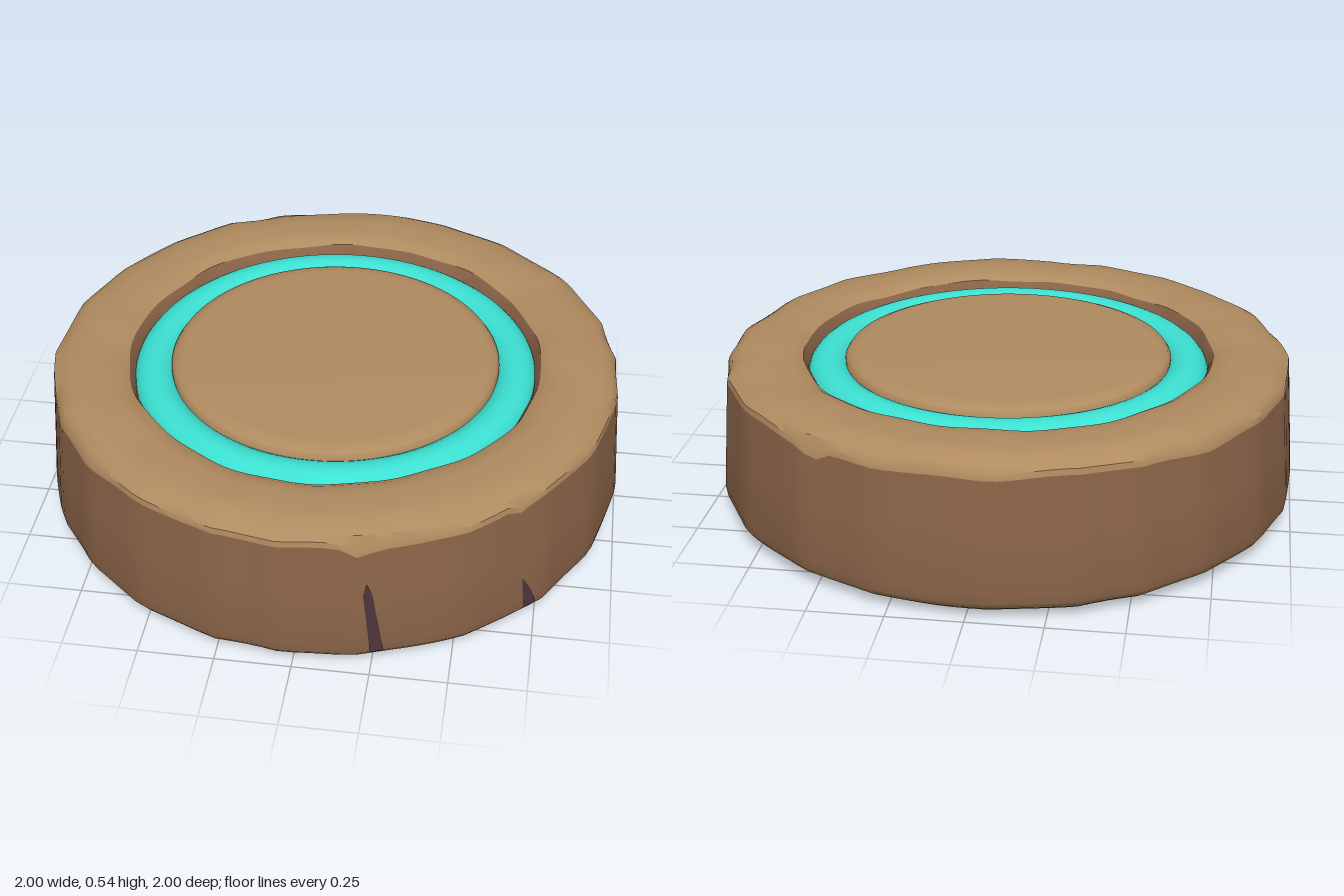
import * as THREE from 'three';
import { mergeVertices, toCreasedNormals } from 'three/addons/utils/BufferGeometryUtils.js';

const HEIGHT = 0.545;
const SEGMENTS = 120;

function material(name, color) {
  const m = new THREE.MeshStandardMaterial({ color });
  m.name = name;
  return m;
}

// Periodic hand-carved wobble, about -1..1
const wobble = (t, seed) =>
  0.45 * Math.sin(5 * t + seed) + 0.35 * Math.sin(9 * t + 2.3 * seed) + 0.3 * Math.sin(17 * t + 4.1 * seed);

// Irregular chopped outline: 22 uneven flats around the circle
function chopped(t) {
  const warped = t + 0.06 * Math.sin(3 * t + 1) + 0.03 * Math.sin(7 * t);
  const step = (Math.PI * 2) / 22;
  const local = ((warped % step) + step) % step - step / 2;
  return Math.cos(step / 2) / Math.cos(local);
}

// Moves a point of the turned body to its carved position
function carve(r, y, t) {
  const outer = THREE.MathUtils.smoothstep(r, 0.75, 0.95);
  let radius = r * (1 + outer * (chopped(t) - 1)) + (1 - outer) * 0.007 * wobble(t, 2);
  let height = y;
  if (y > 0.5) {
    height -= 0.006 * (1 + wobble(t, 1 + 3 * r));
    radius += outer * 0.005 * wobble(t, 5);
  } else if (y > 0.46 && r > 0.9) {
    // ragged lower edge of the top cap, with small chips
    height += 0.01 * wobble(t, 3);
    for (const chip of [0.22, 0.8, 2.6]) height -= 0.03 * Math.exp(-(((t - chip) / 0.04) ** 2));
  } else if (y < 0.07) {
    height += 0.004 * (1 + wobble(t, 4 + 3 * r));
  }
  return new THREE.Vector3(radius * Math.sin(t), height, radius * Math.cos(t));
}

function turned(name, profile, mat, carved = true) {
  const lathe = new THREE.LatheGeometry(profile.map(([r, y]) => new THREE.Vector2(r, y)), SEGMENTS);
  const pos = lathe.attributes.position;
  if (carved) {
    for (let i = 0; i < pos.count; i++) {
      const x = pos.getX(i), z = pos.getZ(i);
      const p = carve(Math.hypot(x, z), pos.getY(i), Math.atan2(x, z));
      pos.setXYZ(i, p.x, p.y, p.z);
    }
  }
  lathe.deleteAttribute('normal');
  lathe.deleteAttribute('uv');
  const mesh = new THREE.Mesh(toCreasedNormals(mergeVertices(lathe, 1e-4), 0.6), mat);
  mesh.name = name;
  return mesh;
}

// Profile for the underside: flipped in height, order reversed to keep faces outward
const flipped = (profile) => profile.map(([r, y]) => [r, HEIGHT - y]).reverse();

// Tapered split lying on the side wall: rows of [y, left angle, right angle]
function crack(name, rows, mat) {
  const points = [], index = [];
  rows.forEach(([y, a, b], i) => {
    const r = THREE.MathUtils.mapLinear(y, 0.1, 0.47, 1.0, 0.974) + 0.005;
    points.push(...carve(r, Math.max(y, 0.07), a).toArray(), ...carve(r, Math.max(y, 0.07), b).toArray());
    if (i) {
      const k = 2 * i;
      index.push(k - 2, k, k + 1, k - 2, k + 1, k - 1);
    }
  });
  const geo = new THREE.BufferGeometry();
  geo.setAttribute('position', new THREE.Float32BufferAttribute(points, 3));
  geo.setIndex(index);
  geo.computeVertexNormals();
  const mesh = new THREE.Mesh(geo, mat);
  mesh.name = name;
  return mesh;
}

export function createModel() {
  const tan = material('tan wood', 0xb08b60);
  const brown = material('brown bark', 0x8c6549);
  const dark = material('dark crack', 0x4c343a);
  const teal = material('turquoise inlay', 0x3ce0d2);
  dark.side = THREE.DoubleSide;

  const model = new THREE.Group();
  model.name = 'woodenDisc';

  // Outer rim: side wall with a worn cap above and below
  model.add(
    turned('sideWall', [[0.996, 0.055], [1.003, 0.1], [0.988, 0.3], [0.975, 0.475]], brown),
    turned('topRim', [[0.975, 0.475], [0.972, 0.495], [0.955, 0.52], [0.92, 0.541], [0.85, HEIGHT],
      [0.78, HEIGHT], [0.735, 0.54], [0.708, 0.525]], tan),
    turned('bottomRim', [[0.708, 0.022], [0.735, 0.006], [0.78, 0], [0.85, 0], [0.92, 0.004],
      [0.955, 0.018], [0.982, 0.036], [0.996, 0.055]], tan),
  );

  // Groove walls, rounded inlay rings and centre plates on both faces
  const groove = [[0.708, 0.525], [0.692, 0.49], [0.68, 0.44]];
  const inlay = [];
  for (let i = 0; i <= 12; i++) {
    const a = (i / 12) * Math.PI;
    inlay.push([0.62 + 0.075 * Math.cos(a), 0.45 + 0.068 * Math.sin(a)]);
  }
  const plate = [[0.566, 0.44], [0.564, 0.505], [0.553, 0.521], [0.525, 0.532], [0.5, 0.534], [0, 0.534]];
  model.add(
    turned('topGroove', groove, brown),
    turned('bottomGroove', flipped(groove), brown),
    turned('topInlayRing', inlay, teal, false),
    turned('bottomInlayRing', flipped(inlay), teal, false),
    turned('topCentrePlate', plate, tan, false),
    turned('bottomCentrePlate', flipped(plate), tan, false),
  );

  // Splits in the side wall
  model.add(
    crack('longCrack', [[0.07, 0.25, 0.295], [0.13, 0.245, 0.285], [0.3, 0.228, 0.258], [0.34, 0.238, 0.242]], dark),
    crack('shortCrack', [[0.07, 0.8, 0.85], [0.13, 0.795, 0.83], [0.19, 0.793, 0.797]], dark),
  );
  return model;
}
